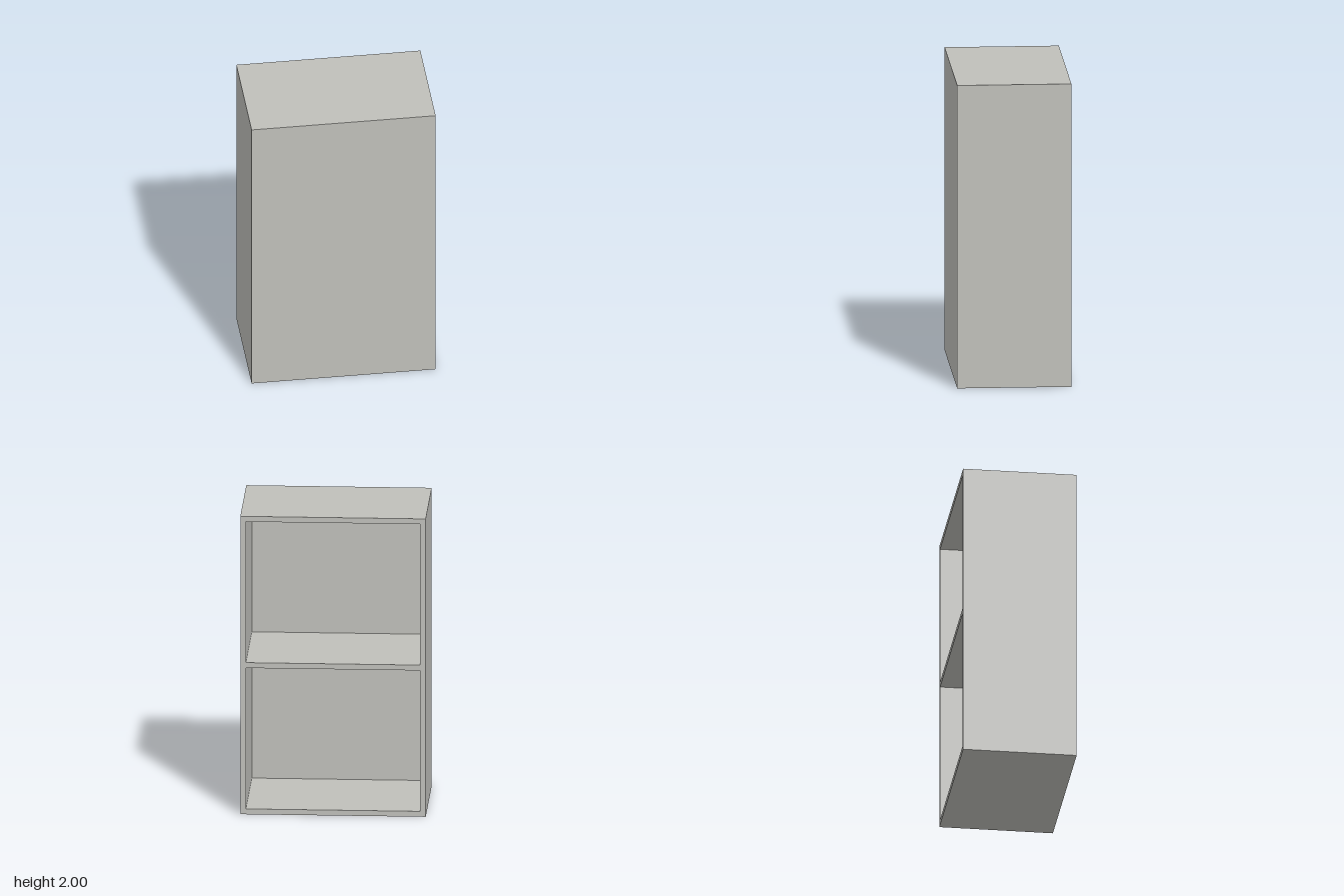
import * as THREE from 'three';

// Cabinet carcass: closed at the front (+z), open at the back (-z), one middle shelf
const W = 1.2, H = 2, D = 0.74;
const T = 0.036;      // board thickness
const PANEL = 0.006;  // thin front panel

export function createModel() {
  const group = new THREE.Group();
  group.name = 'cabinet';

  const grey = new THREE.MeshStandardMaterial({ color: 0xbfbfba });
  grey.name = 'light grey';

  const board = (name, w, h, d, x, y, z) => {
    const mesh = new THREE.Mesh(new THREE.BoxGeometry(w, h, d), grey);
    mesh.name = name;
    mesh.position.set(x, y, z);
    group.add(mesh);
  };

  const depth = D - PANEL;
  const z = -PANEL / 2;

  // Side boards
  for (const [name, s] of [['leftSide', 1], ['rightSide', -1]]) {
    board(name, T, H, depth, s * (W - T) / 2, H / 2, z);
  }

  // Horizontal boards fitted between the sides
  for (const [name, y] of [['bottom', T / 2], ['shelf', H / 2], ['top', H - T / 2]]) {
    board(name, W - 2 * T, T, depth, 0, y, z);
  }

  // Thin panel covering the whole front
  board('frontPanel', W, H, PANEL, 0, H / 2, (D - PANEL) / 2);

  return group;
}
